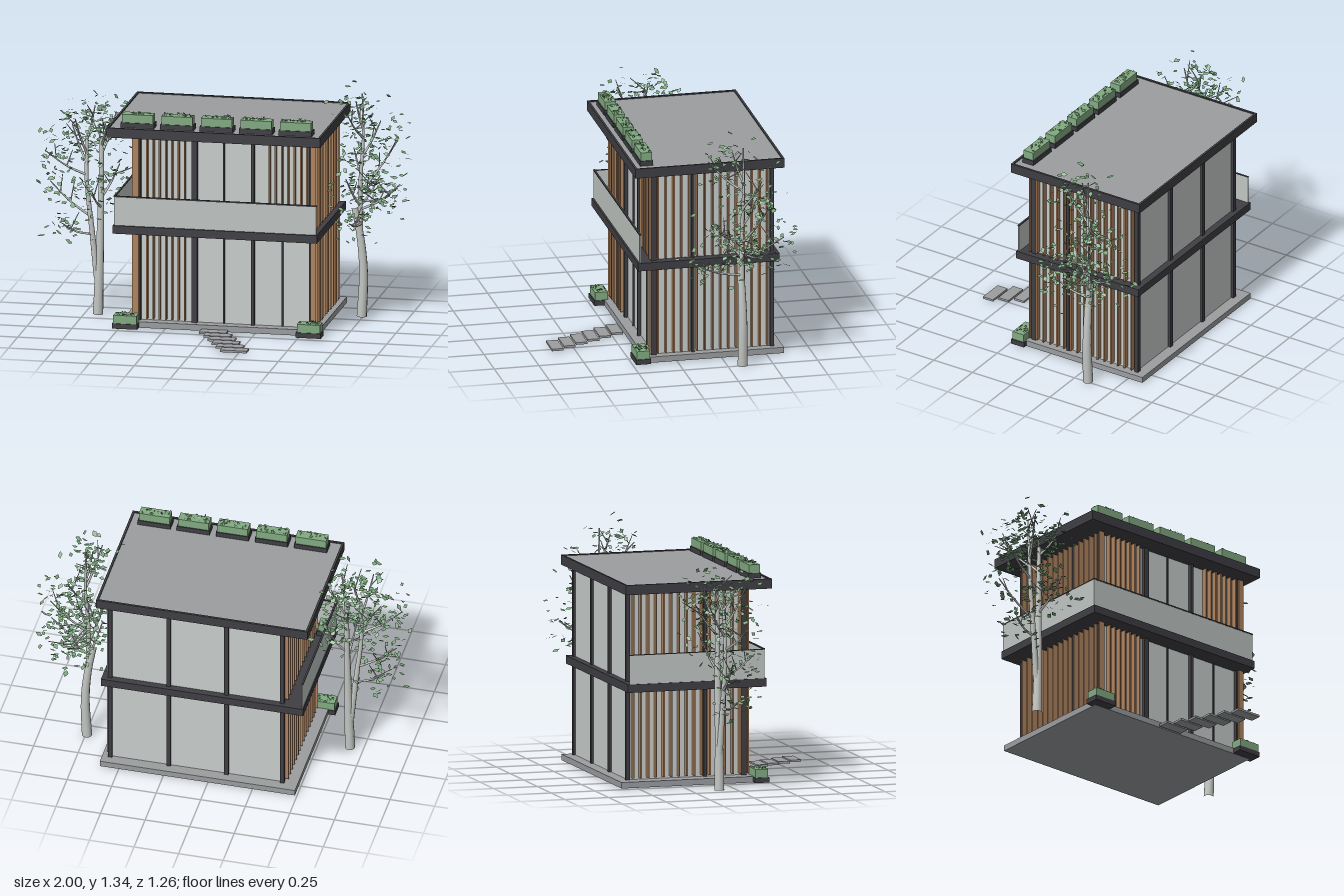
import * as THREE from 'three';

const mat = (name, color, side = THREE.FrontSide) => {
  const m = new THREE.MeshStandardMaterial({ color, side });
  m.name = name;
  return m;
};

export function createModel() {
  const house = new THREE.Group();
  house.name = 'house';
  const M = {
    frame: mat('dark frame', 0x3f3e43),
    glass: mat('pale glass', 0xc9cecc),
    rail: mat('balcony glass', 0xc0c6c3, THREE.DoubleSide),
    wood: mat('wood', 0xb08560),
    concrete: mat('concrete', 0x9b9da0),
    bark: mat('pale bark', 0xc4c8c4),
    green: mat('hedge green', 0x82ab82),
    leaf: mat('leaf green', 0x7da97e, THREE.DoubleSide),
  };

  let seed = 7;
  const rnd = () => ((seed = (seed * 16807) % 2147483647) - 1) / 2147483646;
  const spread = (s) => (rnd() + rnd() + rnd() - 1.5) * s;

  // box given by its limits on each axis
  const box = (name, m, x0, x1, y0, y1, z0, z1, parent = house) => {
    const mesh = new THREE.Mesh(new THREE.BoxGeometry(x1 - x0, y1 - y0, z1 - z0), m);
    mesh.position.set((x0 + x1) / 2, (y0 + y1) / 2, (z0 + z1) / 2);
    mesh.name = name;
    parent.add(mesh);
    return mesh;
  };

  // many small diamond leaves in one mesh
  const leaves = (name, spots, parent) => {
    const pos = [];
    const e = new THREE.Euler(), v = new THREE.Vector3();
    for (const { p, size, tilt } of spots) {
      e.set(spread(tilt), rnd() * Math.PI * 2, spread(tilt), 'YXZ');
      const c = [[-0.5, 0], [0.08, 0.32], [0.5, 0], [-0.08, -0.32]].map(([a, b]) =>
        v.set(a * size, 0, b * size).applyEuler(e).add(p).toArray());
      for (const i of [0, 1, 2, 0, 2, 3]) pos.push(...c[i]);
    }
    const g = new THREE.BufferGeometry();
    g.setAttribute('position', new THREE.Float32BufferAttribute(pos, 3));
    g.computeVertexNormals();
    const mesh = new THREE.Mesh(g, M.leaf);
    mesh.name = name;
    parent.add(mesh);
  };

  // slabs and roof
  box('baseSlab', M.concrete, -0.49, 0.605, 0.004, 0.037, -0.595, 0.18);
  box('middleSlab', M.frame, -0.53, 0.605, 0.535, 0.58, -0.57, 0.22);
  box('roofSlab', M.frame, -0.56, 0.627, 1.078, 1.122, -0.592, 0.24);
  box('roofTop', M.concrete, -0.548, 0.615, 1.12, 1.126, -0.58, 0.228);
  for (const x of [-0.56, 0.615]) box('roofRim', M.frame, x, x + 0.012, 1.12, 1.132, -0.592, 0.24);
  for (const z of [-0.592, 0.228]) box('roofRim', M.frame, -0.548, 0.615, 1.12, 1.132, z, z + 0.012);

  // the two storeys: glass body, frame and wooden slats
  const columns = [-0.405, -0.092, 0.232, 0.56];
  [[0.037, 0.535], [0.58, 1.078]].forEach(([y0, y1], floor) => {
    const storey = new THREE.Group();
    storey.name = floor ? 'upperStorey' : 'lowerStorey';
    house.add(storey);
    box('glassWalls', M.glass, -0.4, 0.555, y0, y1, -0.532, 0.12, storey);
    columns.forEach((x, i) => {
      const w = i === 2 ? 0.009 : 0.015;
      box('frontColumn', M.frame, x - w, x + w, y0, y1, 0.112, 0.14, storey);
      box('backColumn', M.frame, x - 0.012, x + 0.012, y0, y1, -0.546, -0.525, storey);
    });
    for (const x of floor ? [0.07] : [0.07, 0.395])
      box('thinMullion', M.frame, x - 0.004, x + 0.004, y0, y1, 0.11, 0.128, storey);
    for (const x of [-0.405, 0.56])
      box('sideColumn', M.frame, x - 0.015, x + 0.015, y0, y1, -0.103, -0.087, storey);

    // front slats
    const slatRuns = floor ? [[-0.355, 7], [0.325, 7]] : [[-0.355, 7]];
    for (const [start, count] of slatRuns)
      for (let i = 0; i < count; i++) {
        const x = start + i * 0.035;
        box('frontSlat', M.wood, x - 0.004, x + 0.004, y0 + 0.01, y1, 0.12, 0.148, storey);
      }
    // side slats
    for (let i = 0; i < 16; i++) {
      const z = 0.146 - i * 0.0437;
      box('leftSlat', M.wood, 0.555, 0.585, y0 + 0.01, y1, z - 0.004, z + 0.004, storey);
      box('rightSlat', M.wood, -0.435, -0.4, y0 + 0.01, y1, z - 0.004, z + 0.004, storey);
    }
  });

  // balcony balustrade along the front and the right side
  box('frontBalustrade', M.rail, -0.525, 0.6, 0.58, 0.738, 0.204, 0.21);
  box('frontHandrail', M.frame, -0.527, 0.602, 0.738, 0.745, 0.202, 0.212);
  box('sideBalustrade', M.rail, -0.525, -0.519, 0.58, 0.738, -0.56, 0.204);
  box('sideHandrail', M.frame, -0.527, -0.517, 0.738, 0.742, -0.56, 0.204);

  // planters: dark tray, hedge and small leaves on top
  const planter = (x, y, z, w, d, hedge = 0.046) => {
    const g = new THREE.Group();
    g.name = 'planter';
    house.add(g);
    box('tray', M.frame, x - w / 2, x + w / 2, y, y + 0.028, z - d / 2, z + d / 2, g);
    box('hedge', M.green, x - w / 2 + 0.006, x + w / 2 - 0.006, y + 0.028, y + 0.028 + hedge,
      z - d / 2 + 0.005, z + d / 2 - 0.005, g);
    const spots = [];
    for (let i = 0; i < 20; i++)
      spots.push({
        p: new THREE.Vector3(x + (rnd() - 0.5) * (w - 0.03), y + 0.03 + hedge + rnd() * 0.006, z + (rnd() - 0.5) * (d - 0.02)),
        size: 0.02, tilt: 1.3,
      });
    leaves('hedgeLeaves', spots, g);
  };
  for (let i = 0; i < 5; i++) planter(-0.397 + i * 0.2195, 1.128, 0.165, 0.184, 0.072);
  for (const x of [-0.46, 0.56]) planter(x, 0.006, 0.195, 0.14, 0.082);
  planter(-0.475, 0.58, 0.135, 0.07, 0.08, 0.04);

  // stepping stones
  for (let i = 0; i < 6; i++) {
    const x = -0.042 + i * 0.0385, z = 0.19 + i * 0.0753;
    box('steppingStone', M.concrete, x, x + 0.148, 0.005, 0.017, z, z + 0.064);
  }

  // tapered limb along a curve
  const limb = (name, pts, r0, r1, parent) => {
    const curve = new THREE.CatmullRomCurve3(pts.map((p) => new THREE.Vector3(...p)));
    const n = 10, sides = r0 > 0.015 ? 10 : 5;
    const g = new THREE.TubeGeometry(curve, n, 1, sides, false);
    const p = g.attributes.position, v = new THREE.Vector3();
    for (let i = 0; i < p.count; i++) {
      const t = Math.floor(i / (sides + 1)) / n, c = curve.getPointAt(t);
      v.fromBufferAttribute(p, i).sub(c).multiplyScalar(r0 + (r1 - r0) * t).add(c);
      p.setXYZ(i, v.x, v.y, v.z);
    }
    const mesh = new THREE.Mesh(g, M.bark);
    mesh.name = name;
    parent.add(mesh);
    return curve;
  };

  // tree: stems, then branches with twigs, then scattered leaves
  const tree = (name, stems, branches, perBranch) => {
    const g = new THREE.Group();
    g.name = name;
    house.add(g);
    for (const [pts, r0, r1] of stems) limb('trunk', pts, r0, r1, g);
    const spots = [];
    for (const [from, to] of branches) {
      const mid = from.map((a, i) => (a + to[i]) / 2 + (i === 1 ? -0.015 : 0));
      const curve = limb('branch', [from, mid, to], 0.008, 0.003, g);
      for (const t of [0.5, 0.75]) {
        const a = curve.getPoint(t);
        limb('twig', [a.toArray(), [a.x + spread(0.12), a.y + 0.05 + rnd() * 0.05, a.z + spread(0.12)]], 0.004, 0.002, g);
      }
      for (let i = 0; i < perBranch; i++) {
        const p = curve.getPoint(0.4 + 0.6 * rnd());
        p.add(new THREE.Vector3(spread(0.13), spread(0.11) + 0.01, spread(0.13)));
        p.x = THREE.MathUtils.clamp(p.x, -0.98, 0.98);
        p.z = Math.max(p.z, -0.61);
        spots.push({ p, size: 0.032 + rnd() * 0.014, tilt: 0.8 });
      }
    }
    leaves('leaves', spots, g);
  };

  tree('leftTree', [
    [[[0.742, 0, -0.332], [0.752, 0.25, -0.332], [0.735, 0.45, -0.328], [0.705, 0.61, -0.325]], 0.028, 0.018],
    [[[0.735, 0.45, -0.328], [0.735, 0.75, -0.33], [0.75, 1.0, -0.335], [0.745, 1.25, -0.335]], 0.016, 0.004],
  ], [
    [[0.74, 0.52, -0.33], [0.72, 0.58, -0.08]],
    [[0.735, 0.6, -0.33], [0.95, 0.74, -0.3]],
    [[0.735, 0.62, -0.33], [0.8, 0.74, -0.55]],
    [[0.735, 0.62, -0.33], [0.68, 0.8, -0.2]],
    [[0.735, 0.7, -0.33], [0.92, 0.97, -0.45]],
    [[0.735, 0.72, -0.33], [0.84, 0.8, -0.18]],
    [[0.74, 0.8, -0.33], [0.68, 0.92, -0.42]],
    [[0.745, 0.9, -0.33], [0.83, 1.08, -0.42]],
    [[0.75, 1.0, -0.335], [0.7, 1.17, -0.15]],
    [[0.75, 1.05, -0.335], [0.72, 1.22, -0.28]],
    [[0.745, 0.65, -0.33], [0.88, 0.66, -0.42]],
  ], 34);

  tree('rightTree', [
    [[[-0.675, 0, -0.095], [-0.668, 0.25, -0.095], [-0.66, 0.6, -0.1], [-0.655, 1.0, -0.1]], 0.028, 0.011],
    [[[-0.68, 0.2, -0.095], [-0.71, 0.5, -0.085], [-0.735, 0.75, -0.08], [-0.735, 1.0, -0.09]], 0.018, 0.008],
  ], [
    [[-0.7, 0.45, -0.09], [-0.86, 0.5, -0.05]],
    [[-0.715, 0.55, -0.085], [-0.94, 0.73, -0.1]],
    [[-0.73, 0.78, -0.08], [-0.95, 0.92, -0.02]],
    [[-0.735, 0.85, -0.08], [-0.84, 1.03, -0.2]],
    [[-0.735, 0.9, -0.085], [-0.78, 1.12, 0.02]],
    [[-0.735, 0.98, -0.09], [-0.7, 1.16, -0.14]],
    [[-0.655, 0.9, -0.1], [-0.59, 1.12, -0.18]],
    [[-0.655, 0.95, -0.1], [-0.6, 1.09, 0.02]],
    [[-0.66, 0.65, -0.1], [-0.57, 0.83, -0.17]],
    [[-0.66, 0.6, -0.1], [-0.67, 0.74, 0.11]],
    [[-0.655, 0.85, -0.1], [-0.7, 1.03, -0.24]],
  ], 34);

  return house;
}
